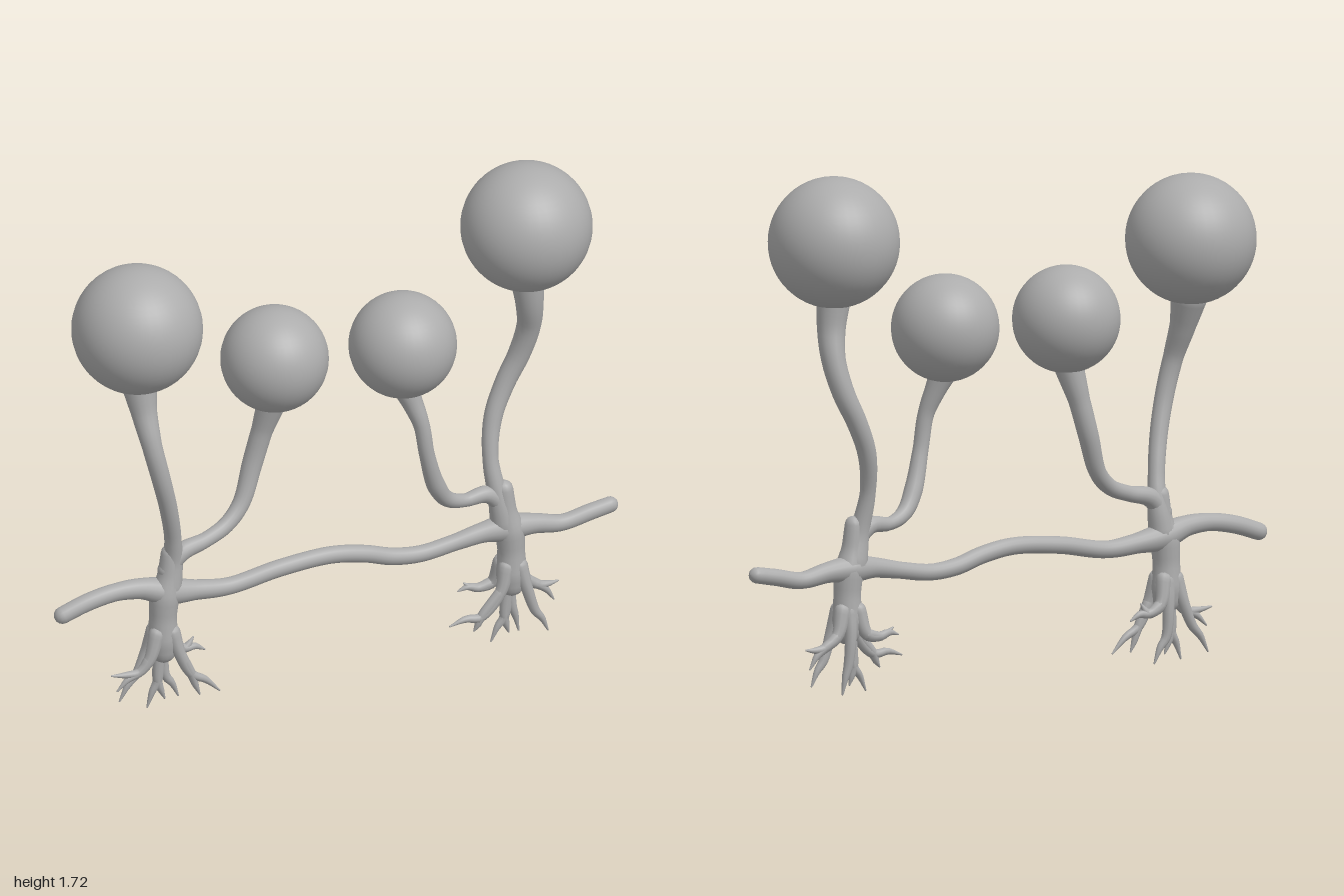
import * as THREE from 'three';

const grey = new THREE.MeshStandardMaterial({ color: 0xacacac });
grey.name = 'plain grey';

// Smooth tapering limb through [x, y, z, radius] points, with rounded ends
function limb(name, pts, steps = 40, sides = 16) {
  const curve = new THREE.CatmullRomCurve3(pts.map(p => new THREE.Vector3(p[0], p[1], p[2])));
  const frames = curve.computeFrenetFrames(steps);
  const radiusAt = t => {
    const f = t * (pts.length - 1), i = Math.min(Math.floor(f), pts.length - 2);
    return THREE.MathUtils.lerp(pts[i][3], pts[i + 1][3], f - i);
  };
  // Each ring: curve station, offset along the tangent, radius
  const rings = [], r0 = pts[0][3], r1 = pts[pts.length - 1][3];
  for (let k = 0; k < 4; k++) {
    const a = k * Math.PI / 8;
    rings.push([0, -r0 * Math.cos(a), r0 * Math.sin(a)]);
  }
  for (let i = 0; i <= steps; i++) rings.push([i, 0, radiusAt(curve.getUtoTmapping(i / steps))]);
  for (let k = 3; k >= 0; k--) {
    const a = k * Math.PI / 8;
    rings.push([steps, r1 * Math.cos(a), r1 * Math.sin(a)]);
  }
  const pos = [], index = [];
  rings.forEach(([i, off, r], row) => {
    const c = curve.getPointAt(i / steps).addScaledVector(frames.tangents[i], off);
    for (let j = 0; j < sides; j++) {
      const a = j / sides * Math.PI * 2;
      const v = c.clone().addScaledVector(frames.normals[i], Math.cos(a) * r)
        .addScaledVector(frames.binormals[i], Math.sin(a) * r);
      pos.push(v.x, v.y, v.z);
      if (row) {
        const n = (j + 1) % sides, p = (row - 1) * sides, q = row * sides;
        index.push(p + j, p + n, q + j, p + n, q + n, q + j);
      }
    }
  });
  const geo = new THREE.BufferGeometry();
  geo.setAttribute('position', new THREE.Float32BufferAttribute(pos, 3));
  geo.setIndex(index);
  geo.computeVertexNormals();
  const mesh = new THREE.Mesh(geo, grey);
  mesh.name = name;
  return mesh;
}

function ball(name, x, y, z, r) {
  const mesh = new THREE.Mesh(new THREE.SphereGeometry(r, 40, 28), grey);
  mesh.position.set(x, y, z);
  mesh.name = name;
  return mesh;
}

// Trunk and forked roots; every root is [start, bend, tip, fork tip] around the hub
function rootCluster(name, hub, roots) {
  const g = new THREE.Group();
  g.name = name;
  g.add(limb('trunk', [[hub * 0.96, 0.56, 0.013, 0.03], [hub * 0.97, 0.48, 0.013, 0.036],
    [hub * 0.99, 0.41, 0.013, 0.05], [hub, 0.33, 0.013, 0.045], [hub, 0.25, 0.013, 0.052],
    [hub, 0.21, 0.013, 0.045]], 20));
  for (const [z, sx, bx, by, tx, ty, fx, fy] of roots) {
    const start = [hub + (sx - hub) * 0.5, 0.28, z * 0.6 + 0.006, 0.028];
    const knee = [sx, 0.2, z, 0.02], bend = [bx, by, z, 0.016];
    g.add(limb('root', [start, knee, bend,
      [(bx + tx) / 2, (by + ty) / 2 + 0.01, z, 0.012], [tx, ty, z, 0.003]], 18, 10));
    if (fx !== undefined) g.add(limb('rootFork', [knee, bend,
      [(bx + fx) / 2, (by + fy) / 2 - 0.004, z, 0.011], [fx, fy, z, 0.003]], 14, 10));
  }
  return g;
}

export function createModel() {
  const model = new THREE.Group();

  // Horizontal runner
  model.add(limb('runner', [
    [-0.97, 0.405, 0.01, 0.029], [-0.88, 0.435, 0.01, 0.03], [-0.78, 0.452, 0.01, 0.03],
    [-0.69, 0.447, 0.01, 0.035], [-0.6, 0.42, 0.01, 0.048], [-0.5, 0.405, 0.01, 0.034],
    [-0.38, 0.395, 0.01, 0.029], [-0.2, 0.425, 0.01, 0.029], [-0.02, 0.437, 0.01, 0.029],
    [0.1, 0.418, 0.01, 0.029], [0.2, 0.388, 0.01, 0.029], [0.3, 0.378, 0.01, 0.028],
    [0.42, 0.395, 0.01, 0.028], [0.52, 0.412, 0.01, 0.034], [0.6, 0.415, 0.01, 0.048],
    [0.7, 0.41, 0.01, 0.034], [0.8, 0.393, 0.01, 0.028], [0.9, 0.412, 0.01, 0.028],
    [0.972, 0.425, 0.01, 0.027]], 110));

  // Stems
  model.add(limb('rightTallStem', [
    [-0.595, 0.43, 0.01, 0.045], [-0.58, 0.53, 0.012, 0.033], [-0.587, 0.62, 0.03, 0.028],
    [-0.615, 0.75, 0.06, 0.03], [-0.65, 0.88, 0.078, 0.032], [-0.678, 1.0, 0.07, 0.034],
    [-0.69, 1.11, 0.03, 0.044], [-0.696, 1.21, 0.0, 0.062]]));
  model.add(limb('rightShortStem', [
    [-0.6, 0.5, 0.012, 0.032], [-0.55, 0.553, 0.01, 0.032], [-0.46, 0.575, 0.0, 0.026],
    [-0.375, 0.607, -0.02, 0.027], [-0.315, 0.665, -0.04, 0.029], [-0.268, 0.79, -0.06, 0.034],
    [-0.235, 0.91, -0.055, 0.036], [-0.205, 1.03, -0.035, 0.05]]));
  model.add(limb('leftTallStem', [
    [0.595, 0.43, 0.01, 0.045], [0.575, 0.53, 0.01, 0.033], [0.558, 0.67, -0.015, 0.026],
    [0.58, 0.8, -0.045, 0.031], [0.627, 0.91, -0.058, 0.034], [0.675, 1.01, -0.052, 0.037],
    [0.7, 1.12, -0.03, 0.04], [0.693, 1.22, -0.005, 0.047], [0.68, 1.33, 0.0, 0.058]]));
  model.add(limb('leftShortStem', [
    [0.59, 0.5, 0.012, 0.03], [0.535, 0.552, 0.013, 0.03], [0.45, 0.55, 0.022, 0.022],
    [0.382, 0.578, 0.04, 0.027], [0.335, 0.645, 0.06, 0.031], [0.294, 0.775, 0.08, 0.026],
    [0.275, 0.89, 0.078, 0.027], [0.25, 0.97, 0.06, 0.035], [0.228, 1.03, 0.045, 0.045]]));

  // Round heads
  model.add(ball('rightTallHead', -0.7, 1.4, -0.003, 0.216));
  model.add(ball('rightShortHead', -0.202, 1.18, -0.028, 0.178));
  model.add(ball('leftShortHead', 0.225, 1.178, 0.038, 0.178));
  model.add(ball('leftTallHead', 0.68, 1.505, 0.0, 0.217));

  // Roots: z, knee x, bend x/y, tip x/y, fork x/y
  model.add(rootCluster('rightRoots', -0.615, [
    [0.045, -0.675, -0.71, 0.16, -0.79, 0.105, -0.81, 0.165],
    [-0.02, -0.66, -0.695, 0.12, -0.755, 0.03],
    [0.015, -0.63, -0.635, 0.1, -0.672, 0.008, -0.61, 0.03],
    [-0.025, -0.6, -0.59, 0.09, -0.545, 0.008],
    [0.05, -0.57, -0.53, 0.12, -0.43, 0.04, -0.5, 0.04],
    [-0.03, -0.565, -0.52, 0.175, -0.45, 0.157, -0.49, 0.21]]));
  model.add(rootCluster('leftRoots', 0.62, [
    [0.045, 0.57, 0.5, 0.12, 0.39, 0.108, 0.475, 0.075],
    [-0.03, 0.57, 0.52, 0.19, 0.45, 0.19, 0.47, 0.215],
    [0.015, 0.605, 0.595, 0.09, 0.548, 0.008, 0.61, 0.03],
    [-0.025, 0.63, 0.64, 0.1, 0.662, 0.008],
    [0.05, 0.66, 0.69, 0.11, 0.735, 0.03],
    [-0.02, 0.68, 0.73, 0.165, 0.785, 0.1, 0.8, 0.165]]));

  return model;
}
